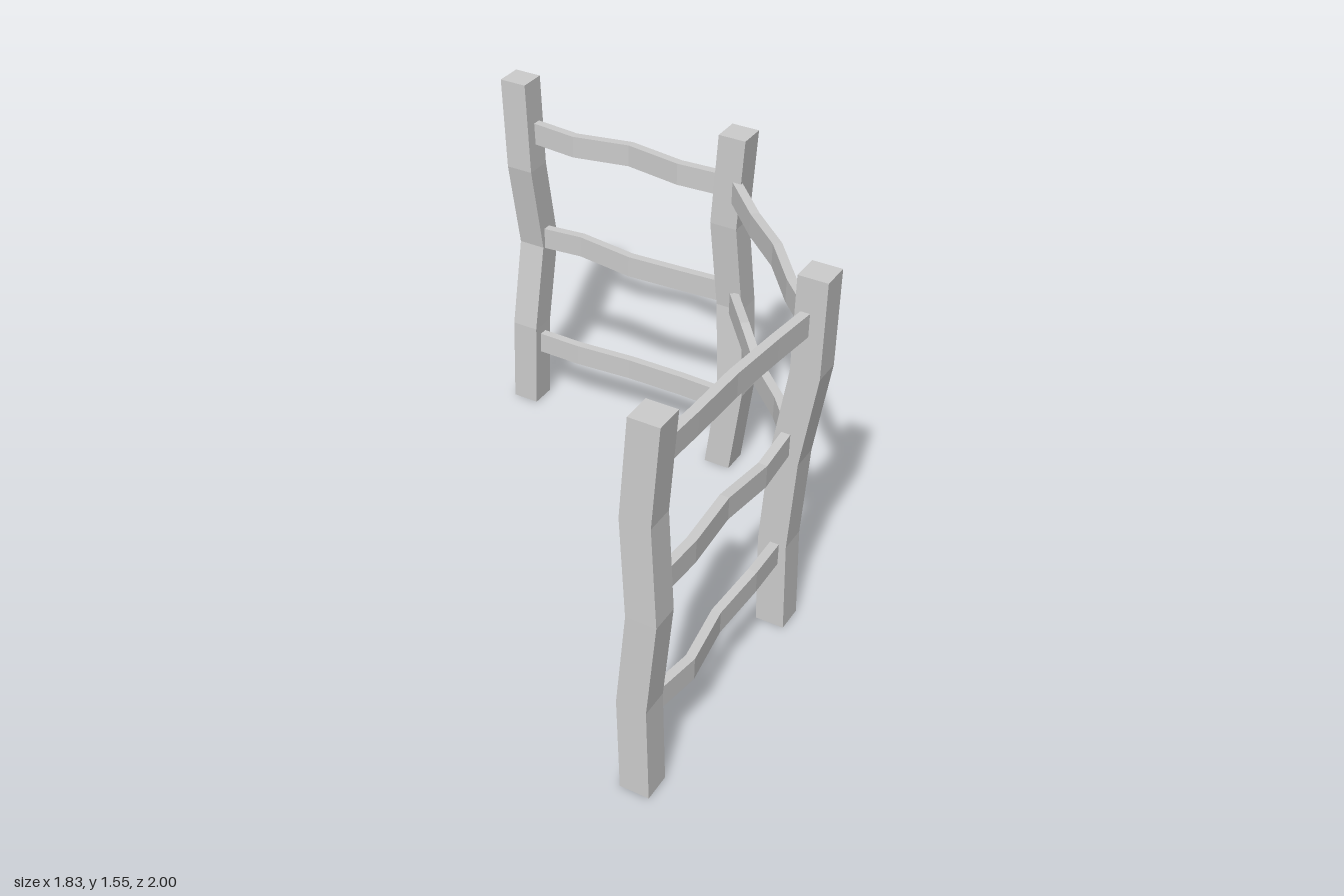
import * as THREE from 'three';

const V = (x, y, z) => new THREE.Vector3(x, y, z);
const material = new THREE.MeshStandardMaterial({ color: 0xcccccc, flatShading: true });
const POST = 0.115, HEIGHT = 1.55, RAIL_H = 0.093, RAIL_T = 0.036, SEG = 4;

function finish(geometry, name) {
  const flat = geometry.toNonIndexed();
  flat.computeVertexNormals();
  const mesh = new THREE.Mesh(flat, material);
  mesh.name = name;
  return mesh;
}

// Square post whose five levels are shifted to the given x and z centres (bottom to top)
function makePost(name, xs, zs) {
  const g = new THREE.BoxGeometry(POST, HEIGHT, POST, 1, SEG, 1);
  const p = g.attributes.position;
  for (let i = 0; i < p.count; i++) {
    const k = Math.round((p.getY(i) / HEIGHT + 0.5) * SEG);
    p.setXYZ(i, p.getX(i) + xs[k], (k / SEG) * HEIGHT, p.getZ(i) + zs[k]);
  }
  return finish(g, name);
}

// Plank from start to end; each of its five stations is nudged up and sideways
function makeRail(name, start, end, lift, sway) {
  const g = new THREE.BoxGeometry(1, RAIL_H, RAIL_T, SEG, 1, 1);
  const p = g.attributes.position;
  const side = end.clone().sub(start).setY(0).normalize().cross(V(0, 1, 0));
  for (let i = 0; i < p.count; i++) {
    const t = p.getX(i) + 0.5, k = Math.round(t * SEG);
    const q = start.clone().lerp(end, t).addScaledVector(side, p.getZ(i) + sway[k]);
    p.setXYZ(i, q.x, q.y + p.getY(i) + lift[k], q.z);
  }
  return finish(g, name);
}

export function createModel() {
  const fence = new THREE.Group();
  fence.name = 'fence';
  const level = [0, 0, 0, 0, 0];

  // Crooked posts
  fence.add(
    makePost('backRightPost', [-0.835, -0.83, -0.822, -0.832, -0.855], [-0.885, -0.885, -0.942, -0.873, -0.873]),
    makePost('backMiddlePost', [0.14, 0.183, 0.146, 0.12, 0.139], [-0.885, -0.885, -0.918, -0.88, -0.882]),
    makePost('sideMiddlePost', [0.79, 0.776, 0.797, 0.853, 0.855], [-0.084, -0.084, -0.084, -0.084, -0.084]),
    makePost('frontLeftPost', [0.78, 0.76, 0.79, 0.758, 0.78], [0.94, 0.938, 0.938, 0.932, 0.928]),
  );

  // Back panel rails
  fence.add(
    makeRail('backTopRail', V(-0.84, 1.32, -0.885), V(0.14, 1.32, -0.88),
      [0, -0.01, 0.002, 0.002, 0], [0, 0.01, -0.02, 0.018, 0]),
    makeRail('backMiddleRail', V(-0.83, 0.81, -0.916), V(0.14, 0.81, -0.925),
      [0, 0.014, -0.006, -0.008, 0], [0, 0, 0.012, 0, 0]),
    makeRail('backBottomRail', V(-0.83, 0.298, -0.885), V(0.17, 0.298, -0.89),
      level, [0, 0.005, -0.012, -0.012, 0]),
  );

  // Diagonal panel rails
  fence.add(
    makeRail('diagonalTopRail', V(0.155, 1.32, -0.845), V(0.845, 1.32, -0.09),
      [0, -0.011, 0, 0.002, 0], [0, -0.005, -0.018, 0.005, 0]),
    makeRail('diagonalMiddleRail', V(0.17, 0.81, -0.85), V(0.8, 0.81, -0.09),
      [0, 0.014, -0.008, -0.006, 0], [0, 0.012, 0.015, -0.008, 0]),
  );

  // Side panel rails
  fence.add(
    makeRail('sideTopRail', V(0.775, 1.367, 0.93), V(0.843, 1.367, -0.09),
      level, [0, -0.005, -0.015, -0.01, 0]),
    makeRail('sideMiddleRail', V(0.785, 0.855, 0.93), V(0.797, 0.855, -0.09),
      [0, 0, 0.004, -0.018, 0], [0, 0.01, -0.005, 0.01, 0]),
    makeRail('sideBottomRail', V(0.775, 0.342, 0.93), V(0.785, 0.342, -0.09),
      [0, -0.002, 0, 0.01, 0], [0, 0.034, -0.002, 0.01, 0]),
  );
  return fence;
}
